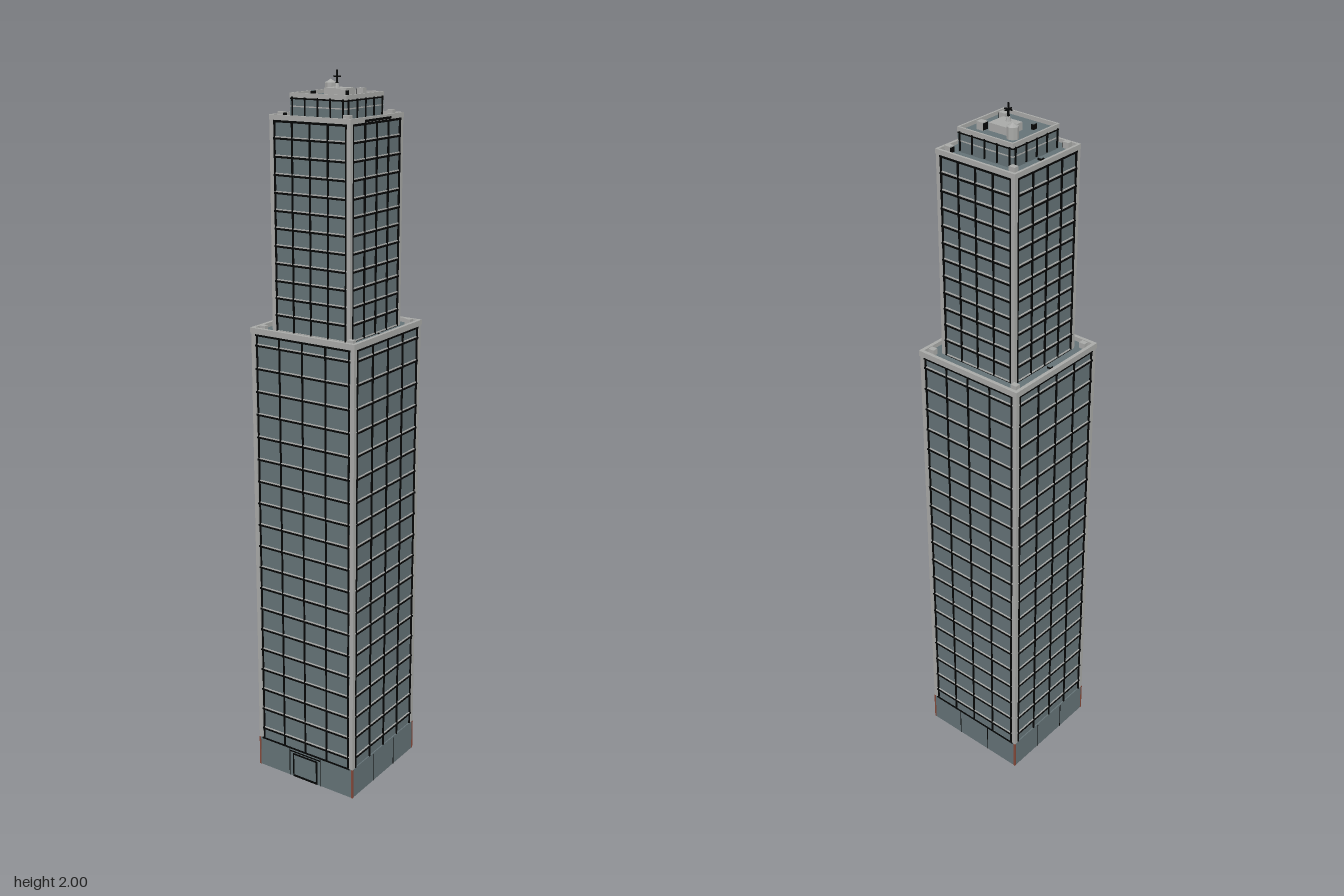
import * as THREE from 'three';

const mat = (name, color) => {
  const m = new THREE.MeshStandardMaterial({ color });
  m.name = name;
  m.flatShading = true;
  return m;
};

export function createModel() {
  const slate = mat('slate glass', 0x647276);
  const stone = mat('pale stone', 0xa8a9a7);
  const dark = mat('black metal', 0x040505);
  const brown = mat('brown trim', 0x84493a);
  const tower = new THREE.Group();
  tower.name = 'tower';

  const add = (parent, name, geometry, material, x, y, z) => {
    const m = new THREE.Mesh(geometry, material);
    m.name = name;
    m.position.set(x, y, z);
    parent.add(m);
    return m;
  };
  // Box given by its bottom height
  const box = (parent, name, w, h, d, material, x, y, z) =>
    add(parent, name, new THREE.BoxGeometry(w, h, d), material, x, y + h / 2, z);

  // Square frame with a hollow middle
  const frame = (parent, name, outer, inner, y, h, material) => {
    const square = (r) => [[-r, -r], [r, -r], [r, r], [-r, r]].map(([x, z]) => new THREE.Vector2(x, z));
    const shape = new THREE.Shape(square(outer));
    shape.holes.push(new THREE.Path(square(inner).reverse()));
    const g = new THREE.ExtrudeGeometry(shape, { depth: h, bevelEnabled: false });
    g.rotateX(-Math.PI / 2);
    add(parent, name, g, material, 0, y, 0);
  };

  // Four copies of a facade, one for each side
  const fourSides = (parent, name, build) => {
    for (let i = 0; i < 4; i++) {
      const side = new THREE.Group();
      side.name = name;
      side.rotation.y = i * Math.PI / 2;
      build(side, i);
      parent.add(side);
    }
  };

  // One tier: glazed core, corner piers, floor bands, mullions, parapet
  const tier = (name, o) => {
    const g = new THREE.Group();
    g.name = name;
    tower.add(g);
    const h = o.top - o.bottom;
    box(g, 'glazedCore', o.half * 2, h, o.half * 2, slate, 0, o.bottom, 0);
    const step = h / o.floors;
    const outer = o.half + 0.004;
    for (const sx of [-1, 1]) for (const sz of [-1, 1]) {
      const c = outer - o.pier / 2;
      box(g, 'cornerPier', o.pier, h, o.pier, stone, sx * c, o.bottom, sz * c);
    }
    const span = (outer - o.pier) * 2;
    fourSides(g, 'facade', (side) => {
      for (let i = 0; i < o.floors; i++) {
        const y = o.bottom + (i + o.shift) * step;
        box(side, 'floorBand', span, 0.005, 0.007, dark, 0, y - 0.0025, o.half + 0.001);
        box(side, 'sill', span, 0.003, 0.005, stone, 0, y + 0.0025, o.half + 0.0005);
      }
      for (let i = 0; i <= 4; i++)
        box(side, 'mullion', 0.0034, h, 0.007, dark, (i / 2 - 1) * o.mullion, o.bottom, o.half + 0.001);
      box(side, 'topBand', span, 0.006, 0.007, dark, 0, o.top - 0.006, o.half + 0.001);
    });
    frame(g, 'parapet', o.rim, o.rimInner, o.top, o.rimHeight, stone);
    box(g, 'roof', o.rimInner * 2, 0.004, o.rimInner * 2, slate, 0, o.top, 0);
    // Rooftop plant at the corners and hatches at the sides
    for (const sx of [-1, 1]) {
      for (const sz of [-1, 1])
        box(g, 'roofUnit', 0.018, 0.017, 0.015, stone, sx * o.unit, o.top + 0.003, sz * o.unit);
      box(g, 'hatchFrame', 0.011, 0.006, 0.011, dark, sx * o.unit, o.top + 0.003, 0);
      box(g, 'hatch', 0.009, 0.008, 0.009, slate, sx * o.unit, o.top + 0.003, 0);
    }
    return g;
  };

  tier('lowerShaft', {
    half: 0.161, bottom: 0.092, top: 1.322, floors: 19, shift: 0.5, pier: 0.012, mullion: 0.148,
    rim: 0.167, rimInner: 0.157, rimHeight: 0.016, unit: 0.141,
  });
  const upper = tier('upperShaft', {
    half: 0.12, bottom: 1.324, top: 1.879, floors: 12, shift: 0, pier: 0.011, mullion: 0.11,
    rim: 0.125, rimInner: 0.118, rimHeight: 0.013, unit: 0.101,
  });
  // Louvres on the inner sides of the upper roof units
  for (const [sx, sz] of [[1, 1], [1, -1], [-1, 1]])
    box(upper, 'louvre', 0.002, 0.013, 0.014, dark, sx * 0.0915, 1.883, sz * 0.101);
  box(upper, 'sidePlate', 0.003, 0.006, 0.12, dark, 0.1255, 1.88, 0);

  // Street level base with panel joints and brown corner trims
  const base = new THREE.Group();
  base.name = 'base';
  tower.add(base);
  box(base, 'podium', 0.329, 0.092, 0.329, slate, 0, 0, 0);
  for (const sx of [-1, 1]) for (const sz of [-1, 1])
    box(base, 'cornerTrim', 0.005, 0.092, 0.005, brown, sx * 0.163, 0, sz * 0.163);
  fourSides(base, 'podiumFacade', (side, i) => {
    for (const x of [-0.055, 0.055])
      box(side, 'panelJoint', 0.002, 0.089, 0.002, dark, x, 0, 0.1645);
    if (i % 2 === 0)
      box(side, 'baseBand', 0.31, 0.004, 0.003, dark, 0, 0.089, 0.1645);
    if (i === 0) {
      // Entrance
      box(side, 'doorFrame', 0.086, 0.077, 0.004, dark, 0, 0, 0.164);
      box(side, 'doorGlass', 0.076, 0.064, 0.004, slate, 0, 0.008, 0.165);
      box(side, 'canopy', 0.106, 0.003, 0.006, dark, 0, 0.081, 0.1635);
    }
  });

  // Crown with outer fins
  const crown = new THREE.Group();
  crown.name = 'crown';
  tower.add(crown);
  box(crown, 'crownCore', 0.172, 0.052, 0.172, slate, 0, 1.883, 0);
  frame(crown, 'crownParapet', 0.087, 0.082, 1.933, 0.012, stone);
  fourSides(crown, 'crownFacade', (side) => {
    for (let i = -2; i <= 2; i++)
      box(side, 'fin', 0.003, 0.048, 0.006, dark, i * 0.039, 1.887, 0.0868);
    box(side, 'crownBand', 0.172, 0.004, 0.002, dark, 0, 1.929, 0.0858);
    box(side, 'crownSill', 0.172, 0.003, 0.002, stone, 0, 1.91, 0.0858);
  });

  // Machinery on the crown roof
  box(crown, 'machineRoom', 0.06, 0.02, 0.054, stone, 0, 1.935, -0.011);
  box(crown, 'coolingUnitRear', 0.02, 0.02, 0.018, stone, 0.048, 1.935, -0.041);
  box(crown, 'rearLouvre', 0.002, 0.017, 0.017, dark, 0.0375, 1.936, -0.041);
  box(crown, 'coolingUnitFront', 0.02, 0.02, 0.015, stone, 0.047, 1.935, 0.039);
  box(crown, 'frontLouvre', 0.002, 0.017, 0.014, dark, 0.0575, 1.936, 0.039);
  box(crown, 'ventFrame', 0.008, 0.013, 0.013, dark, -0.047, 1.935, 0.039);
  box(crown, 'vent', 0.006, 0.015, 0.011, slate, -0.047, 1.935, 0.039);
  add(crown, 'tank', new THREE.CylinderGeometry(0.015, 0.015, 0.03, 8), stone, -0.047, 1.95, -0.04);
  add(crown, 'tankRoof', new THREE.CylinderGeometry(0, 0.015, 0.009, 8), stone, -0.047, 1.9695, -0.04);

  // Antenna
  add(crown, 'mast', new THREE.CylinderGeometry(0.002, 0.004, 0.05, 8), dark, 0, 1.975, 0);
  add(crown, 'mastFoot', new THREE.CylinderGeometry(0.004, 0.007, 0.012, 8), stone, 0, 1.961, 0);
  box(crown, 'crossArmX', 0.024, 0.003, 0.003, dark, 0, 1.982, 0);
  box(crown, 'crossArmZ', 0.003, 0.003, 0.024, dark, 0, 1.982, 0);
  return tower;
}
